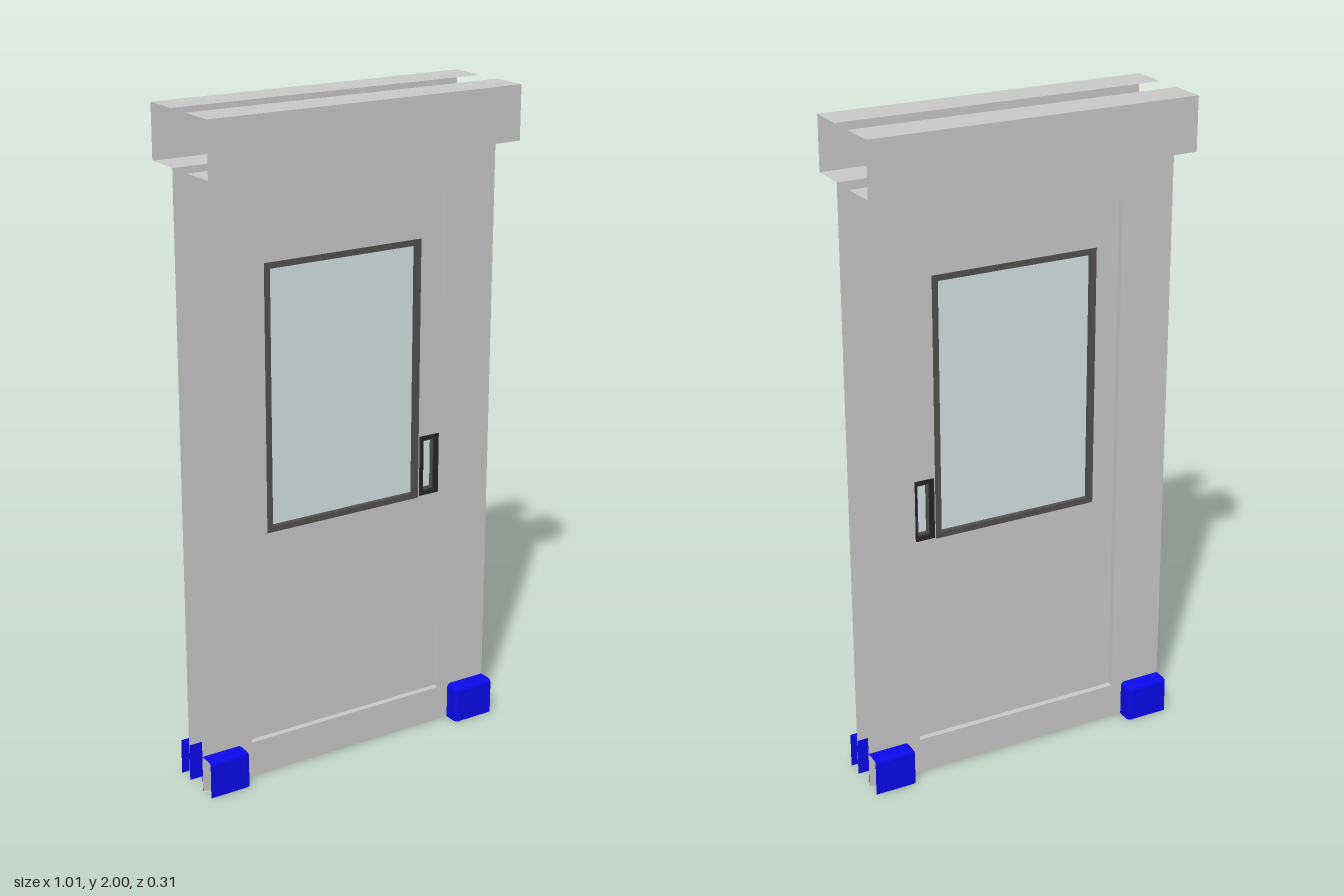
import * as THREE from 'three';

const mat = (color) => new THREE.MeshStandardMaterial({ color, side: THREE.DoubleSide });
const grey = mat(0xcccccc), glass = mat(0xd8e8e8), trim = mat(0x555151), black = mat(0x262626), blue = mat(0x0a0aee);

const W = 0.505, WALL_Z = 0.041, HEAD_Z = 0.155, HEAD_Y = 1.84;
// Rectangles: [x0, x1, y0, y1]
const OPENING = [-0.337, 0.335, 0.112, 1.697];
const WINDOW = [-0.264, 0.261, 0.76, 1.56];
const HANDLE = [0.266, 0.333, 0.765, 0.953];
const inset = ([a, b, c, d], t) => [a + t, b - t, c + t, d - t];

function rectPath([x0, x1, y0, y1], Type = THREE.Path) {
  const p = new Type();
  p.moveTo(x0, y0); p.lineTo(x1, y0); p.lineTo(x1, y1); p.lineTo(x0, y1); p.closePath();
  return p;
}
function rectShape(outer, ...holes) {
  const s = rectPath(outer, THREE.Shape);
  s.holes = holes.map((h) => rectPath(h));
  return s;
}
function add(group, name, geometry, material, x = 0, y = 0, z = 0) {
  const m = new THREE.Mesh(geometry, material);
  m.name = name;
  m.position.set(x, y, z);
  group.add(m);
  return m;
}
// Flat sheet, optionally with rectangular holes
const sheet = (g, name, m, z, outer, ...holes) =>
  add(g, name, new THREE.ShapeGeometry(rectShape(outer, ...holes)), m, 0, 0, z);
// Rectangular frame between two depths
function ring(g, name, m, outer, t, zA, zB) {
  const z0 = Math.min(zA, zB), depth = Math.abs(zB - zA);
  const geo = new THREE.ExtrudeGeometry(rectShape(outer, inset(outer, t)), { depth, bevelEnabled: false });
  add(g, name, geo, m, 0, 0, z0);
}
// Horizontal plate between two depths
function shelf(g, name, m, x0, x1, y, zA, zB) {
  const geo = new THREE.PlaneGeometry(x1 - x0, Math.abs(zB - zA)).rotateX(-Math.PI / 2);
  add(g, name, geo, m, (x0 + x1) / 2, y, (zA + zB) / 2);
}

// Hollow corner shoe, open below and at its outer end, with softened edges
function cornerShoe(g, side, s) {
  const inner = 0.372, top = 0.114, shoe = new THREE.Group();
  shoe.name = 'cornerShoe';
  const section = (t) => {
    const pts = [[inner + t, 0]], r = 0.013;
    for (let i = 0; i <= 4; i++) {
      const a = (i / 4) * Math.PI / 2;
      pts.push([inner + t + r * (1 - Math.cos(a)), top - t - r * (1 - Math.sin(a))]);
    }
    pts.push([W, top - t]);
    return pts;
  };
  const levels = [[0.039, 0], [0.08, 0], [0.087, 0.003], [0.09, 0.01]];
  const pos = [], idx = [], n = section(0).length;
  for (const [z, t] of levels) for (const [x, y] of section(t)) pos.push(side * x, y, s * z);
  for (let k = 0; k < levels.length - 1; k++) {
    for (let i = 0; i < n - 1; i++) {
      const a = k * n + i, b = a + n;
      if (side * s > 0) idx.push(a, b, a + 1, a + 1, b, b + 1);
      else idx.push(a, a + 1, b, a + 1, b + 1, b);
    }
  }
  let geo = new THREE.BufferGeometry();
  geo.setAttribute('position', new THREE.Float32BufferAttribute(pos, 3));
  geo.setIndex(idx);
  geo = geo.toNonIndexed();
  geo.computeVertexNormals();
  add(shoe, 'shoeShell', geo, blue);
  const face = (t) => new THREE.ShapeGeometry(new THREE.Shape(
    [...section(t), [W, 0]].map(([x, y]) => new THREE.Vector2(side * x, y))));
  add(shoe, 'shoeFace', face(0.01), blue, 0, 0, s * 0.09);
  add(shoe, 'shoeBackPlate', face(0), blue, 0, 0, s * 0.039);
  g.add(shoe);
}

// Everything on one face of the wall; s is +1 for the front, -1 for the back
function buildFace(s) {
  const g = new THREE.Group();
  g.name = s > 0 ? 'frontFace' : 'backFace';
  sheet(g, 'wallPanel', grey, s * WALL_Z, [-W, W, 0, HEAD_Y], OPENING);

  // Channel over the door, open at its ends and towards the middle
  sheet(g, 'headerFascia', grey, s * HEAD_Z, [-W, W, HEAD_Y, 2]);
  shelf(g, 'headerTop', grey, -W, W, 2, s * WALL_Z, s * HEAD_Z);
  shelf(g, 'headerBottom', grey, -W, W, HEAD_Y, s * WALL_Z, s * HEAD_Z);

  // Door skin with its window and pull handle
  const leaf = 0.022;
  sheet(g, 'doorSkin', grey, s * leaf, OPENING, WINDOW, HANDLE);
  ring(g, 'windowFrame', trim, WINDOW, 0.018, s * 0.008, s * (leaf + 0.002));
  sheet(g, 'windowGlass', glass, s * 0.01, inset(WINDOW, 0.016));
  ring(g, 'handleRim', black, HANDLE, 0.012, s * 0.006, s * (leaf + 0.004));
  ring(g, 'handleLiner', trim, inset(HANDLE, 0.011), 0.009, s * 0.006, s * 0.014);
  sheet(g, 'handlePlate', glass, s * 0.008, inset(HANDLE, 0.019));

  for (const side of [-1, 1]) cornerShoe(g, side, s);
  return g;
}

export function createModel() {
  const model = new THREE.Group();
  model.name = 'doorWall';
  model.add(buildFace(1), buildFace(-1));

  // Reveals lining the doorway through the wall
  const [x0, x1, y0, y1] = OPENING;
  for (const y of [y0, y1]) shelf(model, 'doorwayReveal', grey, x0, x1, y, -WALL_Z, WALL_Z);
  for (const x of [x0, x1]) {
    const jamb = new THREE.PlaneGeometry(2 * WALL_Z, y1 - y0).rotateY(Math.PI / 2);
    add(model, 'doorwayJamb', jamb, grey, x, (y0 + y1) / 2, 0);
  }
  return model;
}
